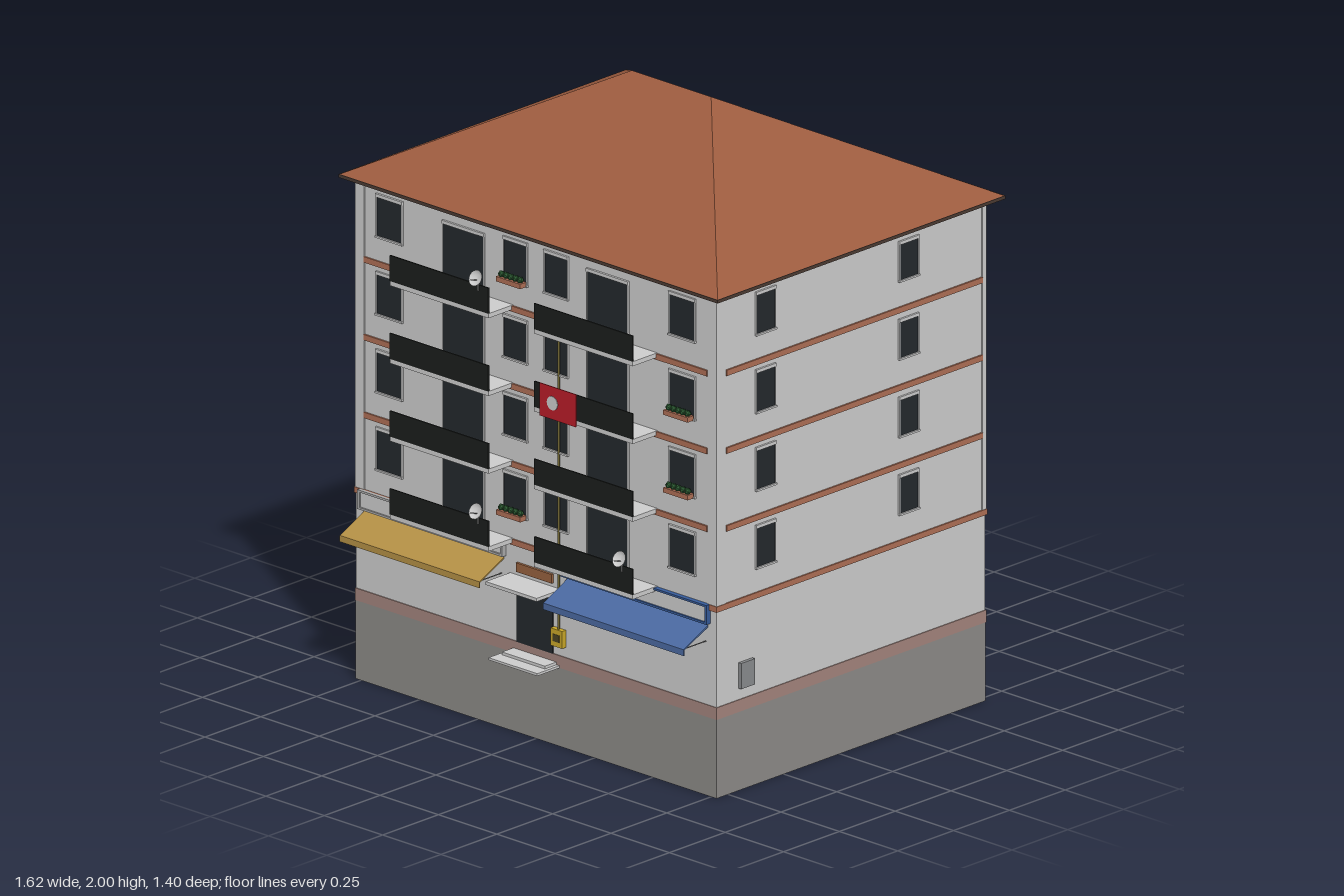
import * as THREE from 'three';

const mats = {};
const mat = (color) => (mats[color] ??= new THREE.MeshStandardMaterial({ color, side: THREE.DoubleSide }));
const GREY = 0xcccccc, GLASS = 0x23282c, TILE = 0x9c5b3f, BAND = 0xad6e55, DARK = 0x1b1e1c;
const X = 0.772, ZF = 0.55, ZB = -0.652, FLOOR = 0.2567;

function add(parent, name, geometry, color) {
  const mesh = new THREE.Mesh(geometry, mat(color));
  mesh.name = name;
  parent.add(mesh);
  return mesh;
}

// box given by its limits on each axis
function box(parent, name, x0, x1, y0, y1, z0, z1, color = GREY) {
  const mesh = add(parent, name, new THREE.BoxGeometry(x1 - x0, y1 - y0, z1 - z0), color);
  mesh.position.set((x0 + x1) / 2, (y0 + y1) / 2, (z0 + z1) / 2);
  return mesh;
}

// window centred on the group origin, facing local +z
function windowUnit(parent, name, w, h, x, y, z, turn = 0) {
  const g = new THREE.Group();
  g.name = name;
  box(g, 'glass', -w / 2, w / 2, -h / 2, h / 2, -0.004, 0.003, GLASS);
  box(g, 'lintel', -w / 2 - 0.003, w / 2 + 0.003, h / 2, h / 2 + 0.011, -0.004, 0.007);
  box(g, 'sill', -w / 2 - 0.004, w / 2 + 0.004, -h / 2 - 0.006, -h / 2, -0.004, 0.009);
  for (const s of [-1, 1]) {
    const jamb = box(g, 'jamb', -0.002, 0.002, -h / 2, h / 2, -0.004, 0.005);
    jamb.position.x = s * (w / 2 + 0.001);
  }
  g.position.set(x, y, z);
  g.rotation.y = turn;
  parent.add(g);
}

// hipped roof with a short ridge over a thin eave slab
function roof(parent) {
  const a = [-0.81, 1.665, 0.585], b = [0.81, 1.665, 0.585], c = [0.81, 1.665, -0.7], d = [-0.81, 1.665, -0.7];
  const l = [-0.17, 2, -0.055], r = [0.17, 2, -0.055];
  const faces = [a, b, r, a, r, l, b, c, r, c, d, l, c, l, r, d, a, l];
  const geo = new THREE.BufferGeometry();
  geo.setAttribute('position', new THREE.Float32BufferAttribute(faces.flat(), 3));
  geo.computeVertexNormals();
  add(parent, 'roof', geo, TILE);
  box(parent, 'eaves', -0.812, 0.812, 1.654, 1.665, -0.702, 0.587, 0x4a3a32);
}

function balcony(parent, x0, x1, y) {
  const g = new THREE.Group();
  g.name = 'balcony';
  box(g, 'balconySlab', x0, x1, y - 0.015, y, ZF, 0.66);
  box(g, 'balconyPanel', x0, x1, y, y + 0.085, 0.656, 0.661, DARK);
  parent.add(g);
}

function flowerBox(parent, x, y) {
  const g = new THREE.Group();
  g.name = 'flowerBox';
  box(g, 'planter', -0.052, 0.052, -0.008, 0.008, 0, 0.027, BAND);
  for (let i = 0; i < 5; i++) {
    const plant = add(g, 'plant', new THREE.IcosahedronGeometry(0.012, 0), 0x2c5a32);
    plant.position.set(-0.04 + i * 0.02, 0.016, 0.014);
  }
  g.position.set(x, y, ZF + 0.006);
  parent.add(g);
}

function dish(parent, x, y) {
  const g = new THREE.Group();
  g.name = 'satelliteDish';
  const profile = [[0, 0], [0.013, 0.002], [0.021, 0.006], [0.026, 0.011]].map((p) => new THREE.Vector2(...p));
  add(g, 'reflector', new THREE.LatheGeometry(profile, 16), GREY).rotation.x = Math.PI / 2 - 0.5;
  const arm = add(g, 'feedArm', new THREE.CylinderGeometry(0.0015, 0.0015, 0.035, 6), 0x777777);
  arm.position.set(0, 0, 0.015);
  arm.rotation.x = Math.PI / 2 - 0.3;
  box(g, 'mast', -0.002, 0.002, -0.04, 0, -0.006, -0.002, 0x777777);
  g.position.set(x, y, 0.665);
  parent.add(g);
}

// shop sign and sloping awning
function shopFront(parent, x0, x1, color, frame) {
  const g = new THREE.Group();
  g.name = 'shopFront';
  box(g, 'signBoard', x0 - 0.012, x1 + 0.007, 0.575, 0.629, ZF, 0.561);
  for (const [ya, yb] of [[0.57, 0.577], [0.627, 0.634]])
    box(g, 'signFrame', x0 - 0.014, x1 + 0.009, ya, yb, ZF, 0.567, frame);
  for (const x of [x0 - 0.014, x1])
    box(g, 'signFrameEnd', x, x + 0.009, 0.57, 0.634, ZF, 0.567, frame);
  const section = new THREE.Shape([[ZF, 0.563], [0.66, 0.511], [0.66, 0.49], [0.656, 0.49], [0.656, 0.508], [ZF, 0.557]]
    .map(([z, y]) => new THREE.Vector2(-z, y)));
  const awning = add(g, 'awning', new THREE.ExtrudeGeometry(section, { depth: x1 - x0, bevelEnabled: false }), color);
  awning.rotation.y = Math.PI / 2;
  awning.position.x = x0;
  for (const x of [x0 + 0.01, x1 - 0.01]) {
    const rod = add(g, 'awningRod', new THREE.CylinderGeometry(0.002, 0.002, 0.106, 6), 0x777777);
    rod.position.set(x, 0.508, 0.603);
    rod.rotation.x = Math.PI / 2;
  }
  parent.add(g);
}

export function createModel() {
  const model = new THREE.Group();
  model.name = 'apartmentBuilding';

  // main masses
  box(model, 'plinth', -X - 0.001, X + 0.001, 0, 0.26, ZB - 0.001, ZF + 0.001, 0x8b8986);
  box(model, 'plinthBand', -X - 0.003, X + 0.003, 0.26, 0.3, ZB - 0.003, ZF + 0.003, 0xa2837c);
  box(model, 'walls', -X, X, 0.3, 1.656, ZB, ZF);
  roof(model);

  // corner pilasters
  for (const s of [-1, 1]) {
    const xa = s * (X - 0.037), xb = s * (X + 0.003);
    const x0 = Math.min(xa, xb), x1 = Math.max(xa, xb);
    box(model, 'frontPilaster', x0, x1, 0.634, 1.655, ZF - 0.04, ZF + 0.003);
    box(model, 'backPilaster', x0, x1, 0.634, 1.655, ZB - 0.003, ZB + 0.015);
  }

  // storey bands: the lowest runs around the corners
  box(model, 'lowestBand', -X - 0.005, X + 0.005, 0.615, 0.634, ZB - 0.005, ZF + 0.005, BAND);
  for (let f = 1; f < 4; f++) {
    const y = 0.615 + f * FLOOR;
    box(model, 'storeyBandLengthways', -X + 0.037, X - 0.037, y, y + 0.019, ZB - 0.006, ZF + 0.006, BAND);
    box(model, 'storeyBandCrossways', -X - 0.006, X + 0.006, y, y + 0.019, ZB + 0.015, ZF - 0.04, BAND);
  }

  // windows, balcony doors and balconies of the four upper storeys
  for (let f = 0; f < 4; f++) {
    const lift = f * FLOOR, y = 0.781 + lift;
    for (const x of [-0.627, 0.627]) windowUnit(model, 'frontWindow', 0.108, 0.128, x, y, ZF);
    for (const x of [-0.087, 0.087]) windowUnit(model, 'frontInnerWindow', 0.098, 0.128, x, y, ZF);
    for (const x of [-0.31, 0.308]) windowUnit(model, 'balconyDoor', 0.174, 0.19, x, 0.735 + lift, ZF);
    balcony(model, -0.522, -0.1, 0.636 + lift);
    balcony(model, 0.096, 0.518, 0.636 + lift);
    for (const s of [-1, 1])
      for (const z of [0.333, -0.308])
        windowUnit(model, 'sideWindow', 0.083, z > 0 ? 0.128 : 0.118, s * X, y, z, s * Math.PI / 2);
    for (const x of [-0.62, -0.31, 0.31, 0.62])
      windowUnit(model, 'backWindow', 0.115, 0.128, x, y, ZB, Math.PI);
    windowUnit(model, 'stairWindow', 0.068, 0.09, -0.045, y + 0.035, ZB, Math.PI);
  }
  for (const x of [-0.385, 0.385]) windowUnit(model, 'groundWindow', 0.09, 0.095, x, 0.435, ZB, Math.PI);

  // entrance
  box(model, 'entranceDoor', -0.08, 0.073, 0.3, 0.5, ZF - 0.01, ZF + 0.005, GLASS);
  box(model, 'entranceCanopy', -0.112, 0.106, 0.508, 0.519, ZF, 0.66);
  box(model, 'entrancePlaque', -0.08, 0.073, 0.532, 0.562, ZF, ZF + 0.008, 0x96613f);
  box(model, 'lowerStep', -0.107, 0.101, 0.259, 0.267, ZF, 0.652);
  box(model, 'upperStep', -0.095, 0.089, 0.267, 0.276, ZF, 0.605);

  shopFront(model, -0.737, -0.139, 0xb38f45, 0xaaaaaa);
  shopFront(model, 0.134, 0.736, 0x4a69a0, 0x365a98);

  // gas pipe with meter, and a cabinet on the left wall
  const pipe = add(model, 'gasPipe', new THREE.CylinderGeometry(0.004, 0.004, 1.01, 8), 0x6f6532);
  pipe.position.set(0.103, 0.885, ZF + 0.008);
  box(model, 'gasMeter', 0.077, 0.127, 0.333, 0.39, ZF, 0.568, 0xc8a628);
  box(model, 'meterWindow', 0.088, 0.116, 0.35, 0.374, 0.567, 0.57, 0x4a4320);
  box(model, 'wallCabinet', X, 0.784, 0.337, 0.422, 0.39, 0.452, 0x888a8c);

  // things hung on the balconies and sills
  box(model, 'banner', 0.125, 0.28, 1.13, 1.238, 0.663, 0.666, 0xb81c28);
  const spot = add(model, 'bannerDisc', new THREE.CylinderGeometry(0.023, 0.023, 0.002, 20), 0xdddddd);
  spot.rotation.x = Math.PI / 2;
  spot.position.set(0.18, 1.184, 0.667);
  for (const [x, y] of [[-0.142, 1.512], [-0.142, 0.742], [0.473, 0.742]]) dish(model, x, y);
  for (const [x, f] of [[-0.09, 0], [0.627, 1], [0.627, 2], [-0.09, 3]]) flowerBox(model, x, 0.72 + f * FLOOR);

  return model;
}
